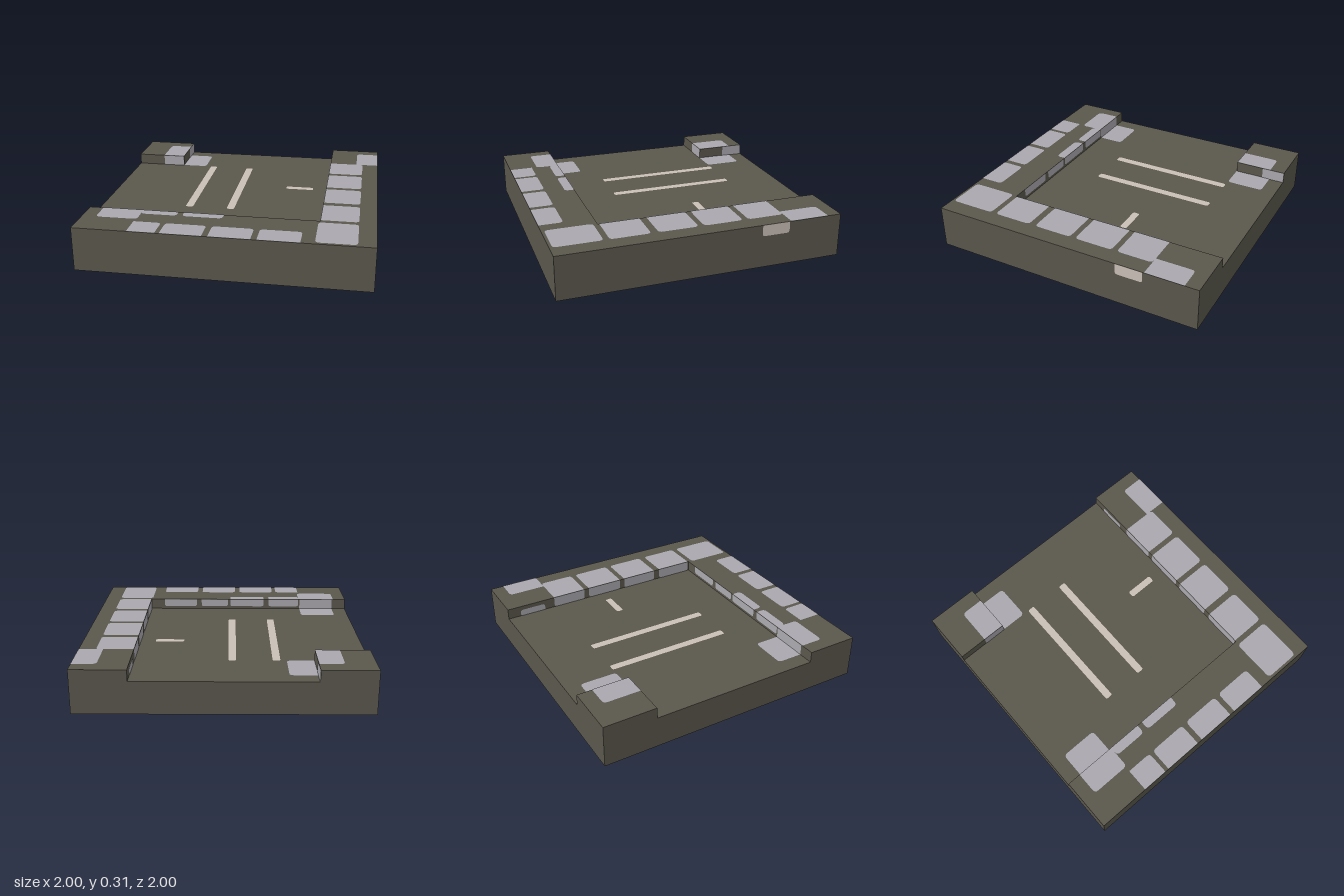
import * as THREE from 'three';

const FLOOR = 0.23, TOP = 0.31, EDGE = 0.62, LIFT = 0.002;

const material = (name, color) => {
  const m = new THREE.MeshStandardMaterial({ color });
  m.name = name;
  return m;
};

// Rectangle with rounded corners; corners touching a side listed in flat (l r b t) stay square
function plateShape(x0, x1, y0, y1, flat, radius) {
  const r = (a, b) => (flat.includes(a) || flat.includes(b) ? 0 : radius);
  const lb = r('l', 'b'), rb = r('r', 'b'), rt = r('r', 't'), lt = r('l', 't');
  const s = new THREE.Shape();
  s.moveTo(x0 + lb, y0);
  s.lineTo(x1 - rb, y0);
  s.quadraticCurveTo(x1, y0, x1, y0 + rb);
  s.lineTo(x1, y1 - rt);
  s.quadraticCurveTo(x1, y1, x1 - rt, y1);
  s.lineTo(x0 + lt, y1);
  s.quadraticCurveTo(x0, y1, x0, y1 - lt);
  s.lineTo(x0, y0 + lb);
  s.quadraticCurveTo(x0, y0, x0 + lb, y0);
  return s;
}

export function createModel() {
  const group = new THREE.Group();
  const earth = material('dark earth', 0x5a574c);
  const stone = material('grey stone', 0xaba9af);
  const chalk = material('pale line', 0xcac0b7);

  const add = (name, geometry, mat) => {
    const mesh = new THREE.Mesh(geometry, mat);
    mesh.name = name;
    group.add(mesh);
    return mesh;
  };

  // Slab, raised L-shaped border and raised corner
  add('slab', new THREE.BoxGeometry(2, FLOOR, 2).translate(0, FLOOR / 2, 0), earth);
  const ell = new THREE.Shape([[-1, -1], [1, -1], [1, 1], [EDGE, 1], [EDGE, -EDGE], [-1, -EDGE]]
    .map(([x, y]) => new THREE.Vector2(x, y)));
  add('border', new THREE.ExtrudeGeometry(ell, { depth: TOP - FLOOR, bevelEnabled: false })
    .rotateX(-Math.PI / 2).translate(0, FLOOR, 0), earth);
  const c = 1 - EDGE, mid = (1 + EDGE) / 2;
  add('raisedCorner', new THREE.BoxGeometry(c, TOP - FLOOR, c)
    .translate(-mid, (TOP + FLOOR) / 2, -mid), earth);

  // Thin plates on horizontal faces (x range, z range) and on walls
  const flatOn = (name, mat, y, x0, x1, z0, z1, flat = '', radius = 0.03) =>
    add(name, new THREE.ShapeGeometry(plateShape(x0, x1, -z1, -z0, flat, radius), 4)
      .rotateX(-Math.PI / 2).translate(0, y + LIFT, 0), mat);
  const wallX = (name, mat, x, dir, z0, z1, y0, y1, flat) => {
    const [a, b] = dir > 0 ? [-z1, -z0] : [z0, z1];
    add(name, new THREE.ShapeGeometry(plateShape(a, b, y0, y1, flat, 0.02), 4)
      .rotateY(dir * Math.PI / 2).translate(x + dir * LIFT, 0, 0), mat);
  };
  const wallZ = (name, mat, z, dir, x0, x1, y0, y1, flat) => {
    const [a, b] = dir > 0 ? [x0, x1] : [-x1, -x0];
    add(name, new THREE.ShapeGeometry(plateShape(a, b, y0, y1, flat, 0.02), 4)
      .rotateY(dir > 0 ? 0 : Math.PI).translate(0, 0, z + dir * LIFT), mat);
  };

  // Stones along the right border, folding down its inner wall
  for (const [z0, z1] of [[-0.62, -0.36], [-0.32, -0.04], [0, 0.28], [0.33, 0.61]]) {
    flatOn('borderStone', stone, TOP, EDGE, 0.88, z0, z1, 'l');
    wallX('innerWallStone', stone, EDGE, -1, z0, z1, FLOOR, TOP, 't');
  }
  flatOn('borderStone', stone, TOP, 0.61, 0.88, 0.65, 0.98);
  flatOn('borderStone', stone, TOP, 0.83, 1, -0.9, -EDGE, 'rb');
  wallX('innerWallStone', stone, EDGE, -1, -0.9, -0.7, FLOOR, 0.28, 'b');

  // Stones along the front edge
  for (const [x0, x1, flat] of [[-0.62, -0.43, 'lb'], [-0.4, -0.12, 'b'], [-0.08, 0.2, 'b'], [0.24, 0.52, 'b']])
    flatOn('frontStone', stone, TOP, x0, x1, 0.83, 1, flat);

  // Stones on the front border's inner wall, some folding over its top
  for (const [x0, x1] of [[-0.61, -0.36], [-0.32, -0.04]])
    flatOn('foldedStone', stone, TOP, x0, x1, EDGE, 0.69, 't');
  for (const [x0, x1] of [[-0.61, -0.36], [-0.32, -0.04], [-0.02, 0.2], [0.24, 0.51]])
    wallZ('innerWallStone', stone, EDGE, -1, x0, x1, 0.25, TOP, 't');

  // Large stone crossing the step at the front left
  flatOn('stepStone', stone, FLOOR, -0.89, -0.62, 0.43, EDGE, 'b');
  wallZ('stepStone', stone, EDGE, -1, -0.89, -0.62, FLOOR, TOP, 'bt');
  flatOn('stepStone', stone, TOP, -0.9, -0.61, EDGE, 0.79, 't');

  // Stones around the raised corner
  flatOn('cornerStone', stone, TOP, -0.79, -EDGE, -0.89, -EDGE, 'rb');
  flatOn('cornerStone', stone, FLOOR, -EDGE, -0.43, -0.89, -0.62, 'l');
  wallZ('cornerStone', stone, -EDGE, 1, -0.79, -EDGE, FLOOR, TOP, 'lrbt');
  wallX('cornerStone', stone, -EDGE, 1, -1, -0.83, FLOOR, TOP, 'lrbt');

  // Pale lines on the floor and on the outer right side
  for (const x of [-0.36, -0.055])
    flatOn('floorLine', chalk, FLOOR, x - 0.027, x + 0.027, -0.62, 0.31, '', 0.015);
  flatOn('shortFloorLine', chalk, FLOOR, 0.3, 0.51, -0.23, -0.18, '', 0.015);
  wallX('sidePatch', chalk, 1, 1, -0.61, -0.41, 0.23, TOP, 't');

  // Stone on the underside
  add('undersideStone', new THREE.ShapeGeometry(plateShape(0.47, 0.6, -1, -0.62, 'b', 0.03), 4)
    .rotateX(Math.PI / 2).translate(0, -LIFT, 0), stone);

  return group;
}
